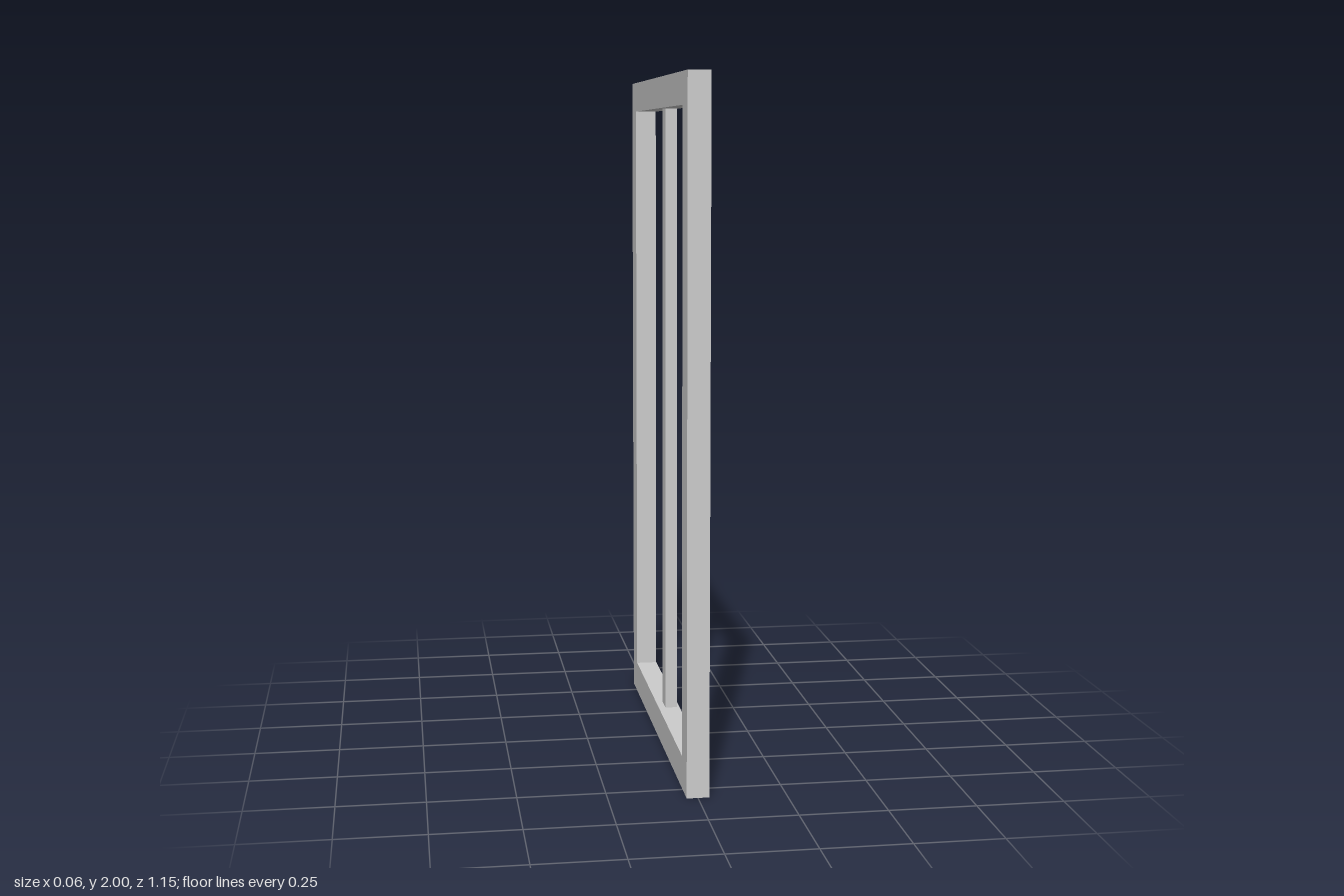
import * as THREE from 'three';

export function createModel() {
  const group = new THREE.Group();
  const material = new THREE.MeshStandardMaterial({ color: 0xcccccc, flatShading: true });

  const halfWidth = 0.576, innerHalf = 0.487; // along z
  const height = 2, innerBottom = 0.095, innerTop = 1.91;
  const depth = 0.064; // along x

  const rectangle = (Type, half, y0, y1) => new Type([
    new THREE.Vector2(-half, y0), new THREE.Vector2(half, y0),
    new THREE.Vector2(half, y1), new THREE.Vector2(-half, y1),
  ]);

  // Outer frame: one rectangle with a rectangular opening
  const outline = rectangle(THREE.Shape, halfWidth, 0, height);
  outline.holes.push(rectangle(THREE.Path, innerHalf, innerBottom, innerTop));
  const frameGeometry = new THREE.ExtrudeGeometry(outline, { depth, bevelEnabled: false });
  frameGeometry.translate(0, 0, -depth / 2).rotateY(Math.PI / 2);
  const frame = new THREE.Mesh(frameGeometry, material);
  frame.name = 'frame';
  group.add(frame);

  // Slim centre bar, thinner than the frame and set slightly to one side
  const mullion = new THREE.Mesh(
    new THREE.BoxGeometry(0.035, innerTop - innerBottom, 0.064), material);
  mullion.position.set(0.006, (innerTop + innerBottom) / 2, -0.006);
  mullion.name = 'centreMullion';
  group.add(mullion);

  return group;
}
